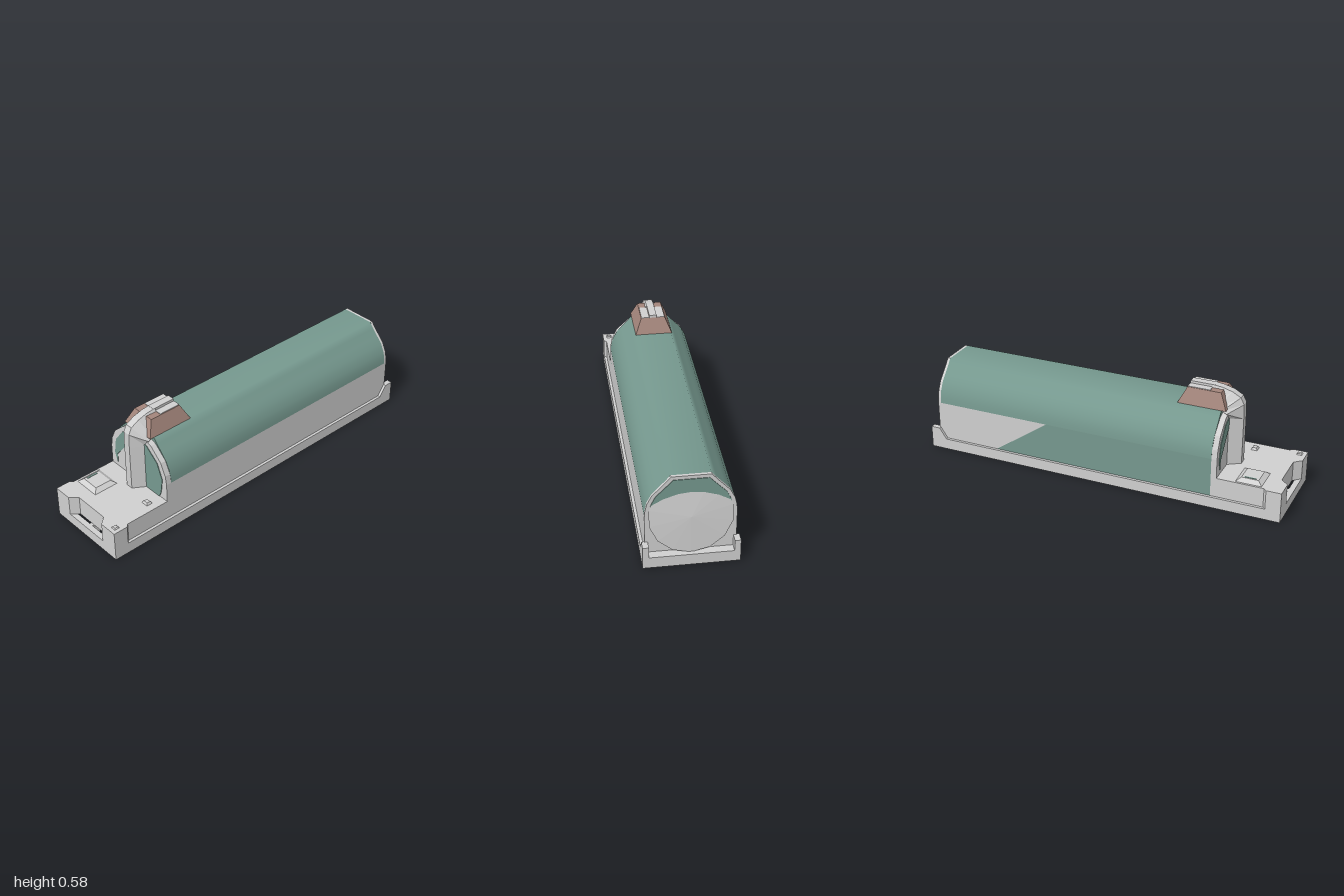
import * as THREE from 'three';

const mat = (name, color, flatShading = false) => {
  const m = new THREE.MeshStandardMaterial({ color, side: THREE.DoubleSide, flatShading });
  m.name = name;
  return m;
};

export function createModel() {
  const model = new THREE.Group();
  const grey = mat('light grey', 0xd0d0d0, true);
  const teal = mat('teal', 0x76998f);
  const rose = mat('dusty rose', 0xa3857b);

  const add = (name, geo, material, x = 0, y = 0, z = 0) => {
    const mesh = new THREE.Mesh(geo, material);
    mesh.name = name;
    mesh.position.set(x, y, z);
    model.add(mesh);
    return mesh;
  };
  const box = (name, m, x0, x1, y0, y1, z0, z1) =>
    add(name, new THREE.BoxGeometry(x1 - x0, y1 - y0, z1 - z0), m, (x0 + x1) / 2, (y0 + y1) / 2, (z0 + z1) / 2);
  const shapeOf = pts => new THREE.Shape(pts.map(p => new THREE.Vector2(...p)));
  const extrude = (pts, depth) => new THREE.ExtrudeGeometry(shapeOf(pts), { depth, bevelEnabled: false });
  // outline in x/y, extruded along z
  const plate = (name, m, pts, z0, z1) => add(name, extrude(pts, z1 - z0), m, 0, 0, z0);
  // outline in x/z, extruded upwards
  const plan = (name, m, pts, y0, y1) =>
    add(name, extrude(pts.map(([x, z]) => [x, -z]), y1 - y0).rotateX(-Math.PI / 2), m, 0, y0, 0);
  // surface through rows of points
  const loft = (name, m, rows) => {
    const n = rows[0].length, index = [];
    for (let r = 0; r < rows.length - 1; r++)
      for (let i = 0; i < n - 1; i++) {
        const a = r * n + i;
        index.push(a, a + 1, a + n, a + 1, a + n + 1, a + n);
      }
    const g = new THREE.BufferGeometry();
    g.setAttribute('position', new THREE.Float32BufferAttribute(rows.flat(2), 3));
    g.setIndex(index);
    g.computeVertexNormals();
    return add(name, g, m);
  };
  const mirror = half => [...half, ...half.map(([x, y]) => [-x, y]).reverse()];

  // underframe: rails, end beams and cross members
  for (const s of [-1, 1]) {
    box('sideRail', grey, s > 0 ? 0.205 : -0.235, s > 0 ? 0.235 : -0.205, 0, 0.06, -1, 1);
    // rear corner post with sloped front
    const post = extrude([[1, 0.06], [0.91, 0.06], [0.95, 0.12], [1, 0.12]], 0.03).rotateY(Math.PI / 2);
    add('rearPost', post, grey, s > 0 ? 0.205 : -0.235, 0, 0);
  }
  for (const z of [-0.985, -0.63, -0.33, 0.03, 0.33, 0.64, 0.985])
    box('crossBeam', grey, -0.205, 0.205, 0, 0.058, z - 0.015, z + 0.015);
  box('frontKeel', grey, -0.012, 0.012, 0, 0.058, 0.65, 0.975);
  box('rearDeck', grey, -0.205, 0.205, 0.05, 0.06, -1, -0.94);

  // belly panels with clipped corners
  for (const z of [-0.79, -0.14, 0.5])
    plan('bellyPanel', teal, [[-0.205, -0.07], [-0.165, -0.11], [0.165, -0.11], [0.205, -0.07],
      [0.205, 0.07], [0.165, 0.11], [-0.165, 0.11], [-0.205, 0.07]].map(([x, d]) => [x, z + d]), 0.015, 0.03);

  // front platform with a tapered notch in its nose
  plan('frontPlatform', grey, [[-0.235, 1], [-0.135, 1], [-0.1, 0.96], [0.1, 0.96], [0.135, 1], [0.235, 1],
    [0.235, 0.92], [0.22, 0.905], [0.22, 0.64], [-0.22, 0.64], [-0.22, 0.905], [-0.235, 0.92]], 0.057, 0.166);

  // bevelled hatch and small fitting on the platform
  const bevel = (name, m, x, z, y0, y1, w0, d0, w1, d1) => {
    const g = new THREE.BoxGeometry(1, 1, 1), p = g.attributes.position;
    for (let i = 0; i < p.count; i++) {
      const top = p.getY(i) > 0;
      p.setXYZ(i, p.getX(i) * (top ? w1 : w0), top ? y1 : y0, p.getZ(i) * (top ? d1 : d0));
    }
    g.computeVertexNormals();
    return add(name, g, m, x, 0, z);
  };
  bevel('hatch', grey, -0.135, 0.82, 0.165, 0.184, 0.15, 0.14, 0.1, 0.09);
  box('hatchSlot', teal, -0.18, -0.172, 0.184, 0.186, 0.79, 0.85);
  bevel('deckFitting', grey, 0.16, 0.735, 0.165, 0.178, 0.04, 0.035, 0.025, 0.02);
  bevel('deckCap', grey, 0.2, 0.965, 0.165, 0.172, 0.03, 0.03, 0.018, 0.018);

  // hull shell: curved roof above, straight walls below
  const F = 0.625, B = -0.94;
  const roof = [[0.22, 0.27], [0.217, 0.3], [0.208, 0.34], [0.185, 0.385], [0.155, 0.418], [0.12, 0.455], [0.095, 0.485]];
  const outline = mirror([[0.22, 0.06], ...roof]);
  const rows = z => mirror(roof).map(([x, y]) => [x, y, z]);
  loft('roofShell', teal, [rows(F), rows(B)]);
  const wall = (name, m, x, lowA, highA, lowB, highB) =>
    loft(name, m, [[[x, 0.06, lowA], [x, 0.27, highA]], [[x, 0.06, lowB], [x, 0.27, highB]]]);
  wall('sideWall', grey, 0.22, F, F, B, B);
  wall('sideWallFront', teal, -0.22, F, F, -0.6, -0.3);
  wall('sideWallRear', grey, -0.22, -0.6, -0.3, B, B);
  plate('shellEnd', teal, outline, 0.618, F);

  // front bulkhead with inset panels
  plate('frontBulkhead', grey, mirror([[0.22, 0.06], [0.22, 0.27], [0.2125, 0.32], [0.182, 0.385],
    [0.11, 0.45], [0.06, 0.468]]), F, 0.655);
  plate('bulkheadPanel', teal, [[0.04, 0.166], [0.162, 0.166], [0.177, 0.2], [0.19, 0.285], [0.155, 0.37],
    [0.077, 0.433], [0.04, 0.442]], 0.655, 0.658);
  plate('bulkheadPanel', teal, [[-0.05, 0.44], [-0.115, 0.415], [-0.175, 0.335], [-0.19, 0.245],
    [-0.172, 0.19], [-0.168, 0.245], [-0.05, 0.39]], 0.655, 0.658);

  // rear bulkhead, teal crescent and a leaning shallow cone
  plate('rearBulkhead', grey, outline, -0.955, B);
  plate('rearCrescent', teal, mirror([[0.197, 0.3], [0.19, 0.335], [0.168, 0.38], [0.11, 0.44], [0.085, 0.467]]),
    -0.958, -0.955);
  const cone = new THREE.ConeGeometry(0.205, 0.012, 14, 1).rotateX(-Math.PI / 2);
  add('rearDish', cone, grey, 0, 0.262, -0.969).rotation.x = 0.07;

  // tapered saddle on the roof
  bevel('saddle', rose, 0, 0.52, 0.484, 0.565, 0.2, 0.26, 0.13, 0.18);
  for (const s of [-1, 1]) box('saddleSlat', grey, s * 0.042 - 0.02, s * 0.042 + 0.02, 0.563, 0.568, 0.43, 0.55);

  // wedge shaped front pillar arching over the roof: [ridge z, ridge y, base z, base y, base half width]
  const arch = [
    [0.72, 0.165, 0.655, 0.165, 0.062], [0.72, 0.42, 0.655, 0.43, 0.062], [0.718, 0.5, 0.65, 0.463, 0.088],
    [0.7, 0.535, 0.625, 0.478, 0.09], [0.655, 0.56, 0.59, 0.485, 0.085], [0.6, 0.575, 0.55, 0.49, 0.075],
    [0.55, 0.58, 0.53, 0.52, 0.04],
  ];
  loft('archPillar', grey, arch.map(([rz, ry, bz, by, w]) => [
    [-w, by, bz], [-0.02, ry, rz], [0.02, ry, rz], [w, by, bz]]));
  box('ridgeBar', grey, -0.02, 0.02, 0.555, 0.58, 0.43, 0.56);

  return model;
}
